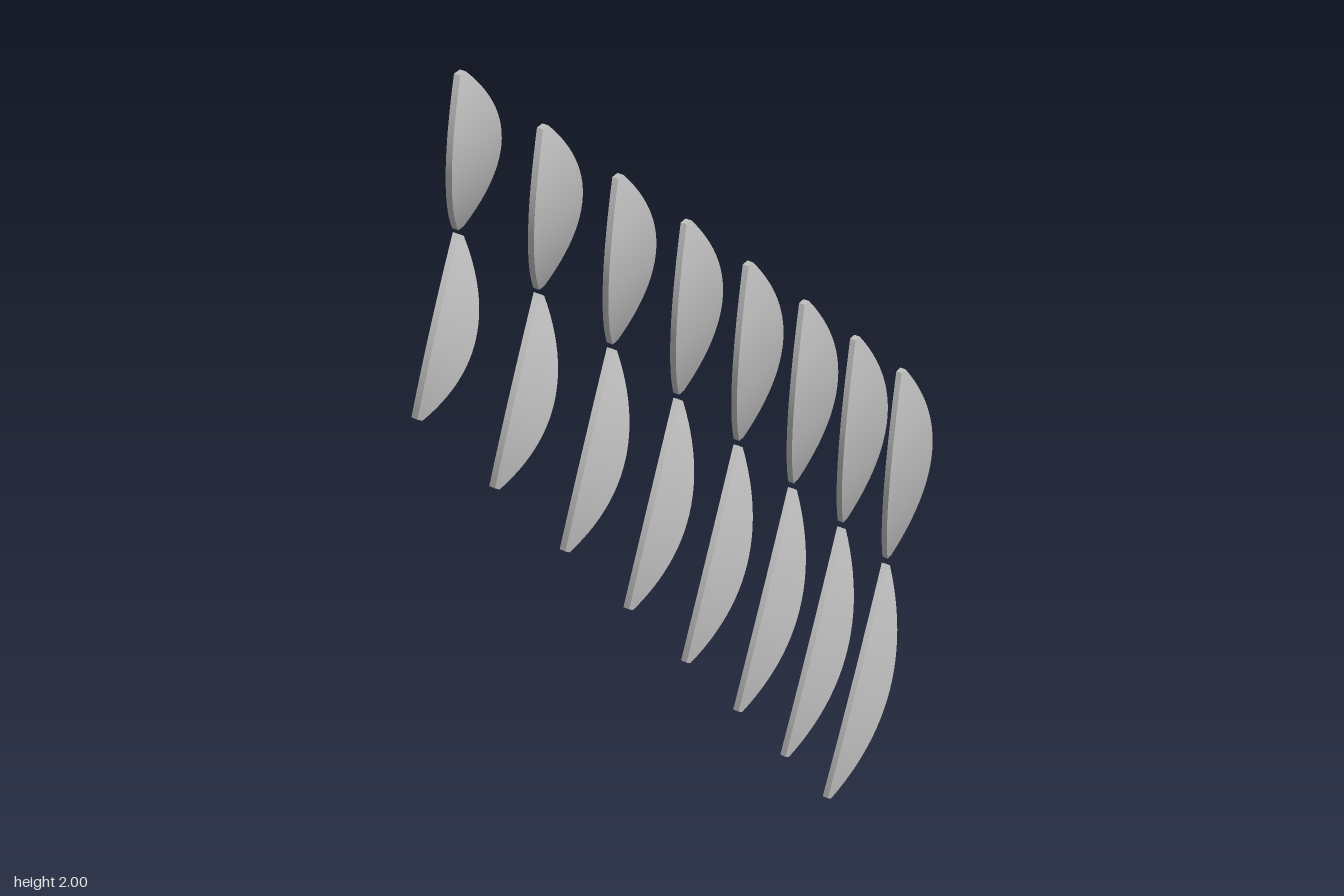
import * as THREE from 'three';

const lerp = THREE.MathUtils.lerp;
const leafGrey = new THREE.MeshStandardMaterial({ color: 0xbfbfbf });
leafGrey.name = 'leafGrey';

// One thin leaflet running from base to tip, given as [z, y], arched towards +x
function leaflet(name, base, tip, halfWidth, shift, arch, bow) {
  const thickness = 0.012;
  const geo = new THREE.BoxGeometry(1, 1, 1, 1, 24, 6);
  const pos = geo.attributes.position;
  const dz = tip[0] - base[0], dy = tip[1] - base[1];
  const len = Math.hypot(dz, dy);
  const nz = dy / len, ny = -dz / len; // sideways direction, keeps faces outward
  for (let i = 0; i < pos.count; i++) {
    const t = pos.getY(i) + 0.5;
    const lens = 4 * t * (1 - t);
    const side = pos.getZ(i) * 2 * (0.007 + (halfWidth - 0.007) * lens) + bow * lens;
    const x = shift + arch * (-0.04 + 0.165 * t - 0.122 * t * t) + pos.getX(i) * thickness;
    pos.setXYZ(i, x, base[1] + dy * t + ny * side, base[0] + dz * t + nz * side);
  }
  // Upward leaflets keep their winding; downward ones are a pure rotation of it
  geo.computeVertexNormals();
  const mesh = new THREE.Mesh(geo, leafGrey);
  mesh.name = name;
  return mesh;
}

export function createModel() {
  const frond = new THREE.Group();
  frond.name = 'frond';
  const pairs = 8;
  for (let i = 0; i < pairs; i++) {
    const u = i / (pairs - 1);
    const shift = 0.024 * (1 - (2 * u - 1) ** 2); // gentle bow of the whole row
    const arch = lerp(0.95, 1.08, u);
    const pair = new THREE.Group();
    pair.name = 'leafletPair' + (i + 1);
    pair.add(
      leaflet('upperLeaflet',
        [lerp(0.58, -0.695, u), lerp(1.712, 0.418, u)],
        [lerp(0.61, -0.65, u), lerp(2.0, 0.88, u)],
        lerp(0.061, 0.076, u), shift, arch, 0),
      leaflet('lowerLeaflet',
        [lerp(0.58, -0.692, u), lerp(1.7, 0.4, u)],
        [lerp(0.745, -0.43, u), lerp(1.46, 0.006, u)],
        lerp(0.056, 0.072, u), shift, arch, 0.004),
    );
    frond.add(pair);
  }
  return frond;
}
